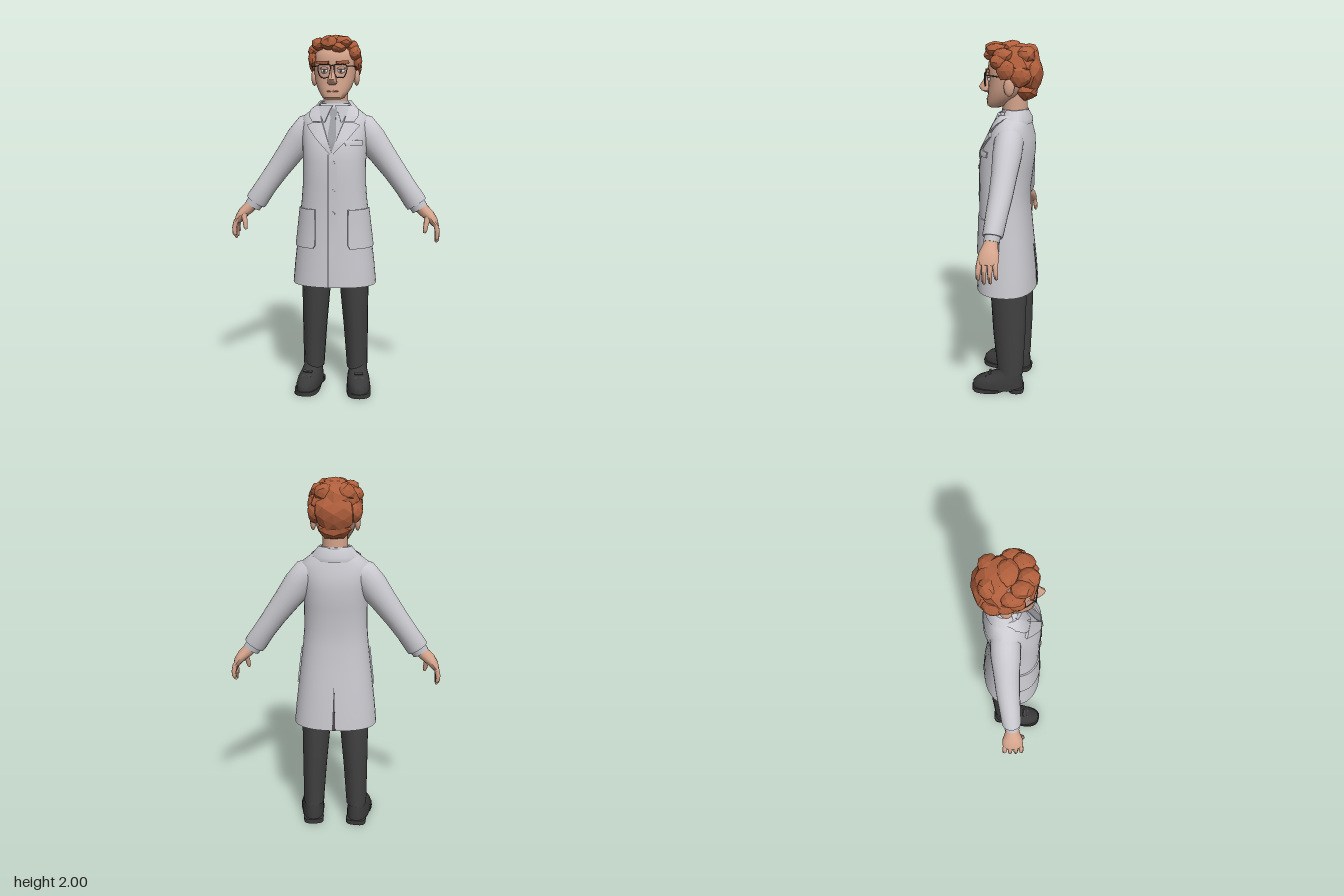
import * as THREE from 'three';
import { mergeGeometries, toCreasedNormals } from 'three/addons/utils/BufferGeometryUtils.js';

const mat = (name, color, side = THREE.FrontSide) => Object.assign(new THREE.MeshStandardMaterial({ color, side }), { name });
const V = (x, y, z) => new THREE.Vector3(x, y, z);
const pw = (v, e) => Math.sign(v) * Math.abs(v) ** e;

// Geometry from a grid of points; rows run upwards, columns run anticlockwise seen from above
function grid(rows, cols, at, { wrap = false, caps = [false, false], crease = 0.8 } = {}) {
  const pos = [], idx = [], n = wrap ? cols : cols - 1;
  for (let i = 0; i < rows; i++) for (let j = 0; j < cols; j++) pos.push(...at(i, j).toArray());
  for (let i = 0; i < rows - 1; i++) for (let j = 0; j < n; j++) {
    const k = (j + 1) % cols, a = i * cols + j, b = i * cols + k;
    idx.push(a, b, b + cols, a, b + cols, a + cols);
  }
  caps.forEach((on, top) => {
    if (!on) return;
    const r = top ? rows - 1 : 0, c = V(0, 0, 0), m = pos.length / 3;
    for (let j = 0; j < cols; j++) c.add(at(r, j));
    pos.push(...c.divideScalar(cols).toArray());
    for (let j = 0; j < cols; j++) {
      const a = r * cols + j, b = r * cols + (j + 1) % cols;
      idx.push(...(top ? [a, b, m] : [b, a, m]));
    }
  });
  const g = new THREE.BufferGeometry();
  g.setAttribute('position', new THREE.Float32BufferAttribute(pos, 3));
  g.setIndex(idx);
  return toCreasedNormals(g, crease);
}

// Limb or body from rings [x, y, z, radius across, radius in z], listed bottom to top
function tube(rings, n = 16, e = 1, caps = [true, true]) {
  return grid(rings.length, n, (i, j) => {
    const [x, y, z, rx, rz] = rings[i], p = rings[Math.max(i - 1, 0)], q = rings[Math.min(i + 1, rings.length - 1)];
    const t = V(q[0] - p[0], q[1] - p[1], 0).normalize(), a = j / n * Math.PI * 2, s = pw(Math.sin(a), e) * rx;
    return V(x + t.y * s, y - t.x * s, z + pw(Math.cos(a), e) * rz);
  }, { wrap: true, caps });
}
// Rings from rows [y, half width, front z, back z]
const rings = (rows, x = 0) => rows.map(([y, w, f, b]) => [x, y, (f + b) / 2, w, (f - b) / 2]);

const COAT = rings([[0.63, .235, .172, -.168], [0.75, .224, .168, -.16], [0.95, .2, .158, -.138], [1.1, .183, .156, -.124],
  [1.2, .175, .156, -.121], [1.32, .175, .156, -.136], [1.42, .18, .14, -.147], [1.5, .187, .1, -.142],
  [1.56, .182, .068, -.124], [1.6, .13, .048, -.114], [1.63, .08, .036, -.105]]);
const EXP = 0.85;

// Coat size at a height
function coatAt(y) {
  let i = 0;
  while (i < COAT.length - 2 && COAT[i + 1][1] < y) i++;
  const t = (y - COAT[i][1]) / (COAT[i + 1][1] - COAT[i][1]);
  return COAT[i].map((v, k) => v + (COAT[i + 1][k] - v) * t);
}
// Raised cloth panel lying on the coat; rows are [y, x0, x1] from bottom to top
function panel(rows, off, turn = 0, sub = 5, cols = 10) {
  const R = [];
  rows.forEach((r, i) => {
    if (!i) return R.push(r);
    for (let k = 1; k <= sub; k++) R.push(r.map((v, c) => rows[i - 1][c] + (v - rows[i - 1][c]) * k / sub));
  });
  return grid(R.length + 2, cols + 3, (i, j) => {
    const edge = i === 0 || j === 0 || i === R.length + 1 || j === cols + 2;
    const [y, x0, x1] = R[Math.min(Math.max(i - 1, 0), R.length - 1)];
    const [, , z, w, d] = coatAt(y), o = edge ? -0.003 : off;
    const ang = x => Math.asin(pw(Math.min(Math.max(x / w, -1), 1), 1 / EXP));
    const t = Math.min(Math.max(j - 1, 0), cols) / cols, a = turn + ang(x0) + (ang(x1) - ang(x0)) * t;
    return V((w + o) * pw(Math.sin(a), EXP), y, z + (d + o) * pw(Math.cos(a), EXP));
  }, { crease: 0.5 });
}
function mirrored(geo) {
  const g = geo.clone().scale(-1, 1, 1), n = g.attributes.position.count;
  const id = g.index ? [...g.index.array] : Array.from({ length: n }, (_, i) => i);
  for (let i = 0; i < id.length; i += 3) [id[i], id[i + 1]] = [id[i + 1], id[i]];
  return g.setIndex(id);
}
const ball = (x, y, z, rx, ry, rz) => new THREE.SphereGeometry(1, 16, 12).scale(rx, ry, rz).translate(x, y, z);
const rod = (pts, r, closed = false) => new THREE.TubeGeometry(new THREE.CatmullRomCurve3(pts, closed), closed ? 32 : 8, r, 6, closed);

// Faceted lock of hair
function lock([x, y, z, rx, ry, rz], seed) {
  const g = new THREE.IcosahedronGeometry(1, 1), p = g.attributes.position;
  for (let i = 0; i < p.count; i++) {
    const v = V(p.getX(i), p.getY(i), p.getZ(i));
    const h = Math.sin(Math.round(v.x * 50) * 12.9 + Math.round(v.y * 50) * 78.2 + Math.round(v.z * 50) * 37.7 + seed * 5.3) * 437.5;
    v.multiplyScalar(0.9 + 0.16 * (h - Math.floor(h)));
    p.setXYZ(i, x + v.x * rx, y + v.y * ry, z + v.z * rz);
  }
  g.computeVertexNormals();
  return g;
}

export function createModel() {
  const group = new THREE.Group();
  const coat = mat('coat cloth', 0xc9c9cf, THREE.DoubleSide), shirt = mat('shirt cloth', 0xbfc0c6, THREE.DoubleSide);
  const tie = mat('tie cloth', 0x9a9ba1), skin = mat('skin', 0xd6a58d), lip = mat('lips', 0xb98672);
  const hair = mat('hair', 0xb05f3c), trouser = mat('trouser cloth', 0x414142), shoe = mat('shoe leather', 0x3a3a3b);
  const white = mat('eye white', 0xe4e4e4), dark = mat('dark trim', 0x4a4748);
  const add = (name, geo, m) => {
    const mesh = new THREE.Mesh(geo, m);
    mesh.name = name;
    group.add(mesh);
  };
  const pair = (name, geo, m) => { add(name + 'Left', geo, m); add(name + 'Right', mirrored(geo), m); };

  // Coat body, front edge and vent
  add('coatBody', tube(COAT, 40, EXP, [false, true]), coat);
  add('coatFrontOverlap', panel([[.632, -.014, .03], [1.36, -.014, .03]], .005, 0, 20), coat);
  add('coatFrontSeam', panel([[.632, -.02, -.014], [1.36, -.02, -.014]], .004, 0, 20, 2), dark);
  add('coatVent', panel([[.632, -.009, .009], [.88, -.001, .001]], .003, Math.PI, 8, 2), dark);
  pair('lowerPocket', panel([[.845, .1, .21], [.865, .088, .22], [1.06, .088, .22]], .008), coat);
  add('breastPocket', panel([[1.405, .075, .155], [1.435, .06, .155]], .007), coat);
  [1.315, 1.16, 1.04].forEach(y => add('button',
    new THREE.CylinderGeometry(.012, .012, .008, 14).rotateX(Math.PI / 2).translate(.008, y, coatAt(y)[2] + coatAt(y)[4] + .007), coat));

  // Shirt front, tie and lapels
  add('shirtFront', panel([[1.37, -.012, .012], [1.5, -.055, .055], [1.61, -.08, .08]], .004), shirt);
  add('tie', panel([[1.375, -.012, .012], [1.46, -.022, .022], [1.56, -.013, .013], [1.57, -.019, .019], [1.605, -.023, .023]], .009), tie);
  pair('shirtCollarPoint', panel([[1.53, .042, .048], [1.58, .024, .07], [1.62, .006, .075]], .014), shirt);
  pair('lapel', panel([[1.36, -.004, .008], [1.45, .027, .088], [1.515, .05, .138], [1.53, .056, .105]], .012), coat);
  pair('collarFront', panel([[1.533, .057, .108], [1.56, .064, .126], [1.595, .072, .125], [1.622, .076, .1]], .012), coat);
  const collar = [[.07, 1.61], [.076, 1.648], [.088, 1.648], [.128, 1.598], [.126, 1.575]].map(p => new THREE.Vector2(...p)).reverse();
  add('collarBack', toCreasedNormals(new THREE.LatheGeometry(collar, 28, Math.PI * .3, Math.PI * 1.4)
    .scale(1, 1, .72).translate(0, 0, -.04), .7), coat);
  add('shirtCollarBand', tube([[0, 1.59, -.036, .078, .072], [0, 1.645, -.038, .074, .072]], 24), shirt);

  // Sleeves and cuffs
  pair('sleeve', tube([[.457, 1.078, -.015, .06, .05], [.447, 1.093, -.016, .062, .053], [.395, 1.17, -.022, .06, .057],
    [.333, 1.257, -.03, .064, .062], [.26, 1.355, -.034, .073, .068], [.2, 1.435, -.035, .083, .077],
    [.155, 1.492, -.035, .083, .077], [.08, 1.52, -.035, .07, .065]], 20), coat);
  pair('cuff', tube([[.475, 1.053, -.013, .047, .041], [.45, 1.09, -.015, .048, .042]], 18), shirt);

  // Hands
  pair('palm', tube([[.563, .965, -.012, .018, .05], [.552, .985, -.012, .025, .056], [.528, 1.015, -.012, .031, .053],
    [.5, 1.04, -.012, .034, .04], [.475, 1.065, -.013, .036, .034]], 14), skin);
  [[.032, .885], [.004, .868], [-.025, .872], [-.053, .895]].forEach(([z, y], i) =>
    pair('finger' + (i + 1), tube([[.566, y, z * 1.1, .006, .006], [.572, y + .012, z * 1.1, .012, .011], [.574, .93, z * 1.05, .013, .013],
      [.566, .965, z, .014, .014], [.55, .99, z * .9, .012, .014]], 8), skin));
  pair('thumb', tube([[.503, .925, .045, .007, .007], [.506, .94, .044, .012, .012], [.51, .97, .038, .014, .014],
    [.52, 1.01, .022, .018, .018]], 8), skin);

  // Trousers and shoes
  pair('trouserLeg', tube([[.126, .115, -.037, .06, .077], [.126, .14, -.037, .061, .077], [.119, .36, -.03, .07, .094],
    [.109, .6, -.024, .082, .104], [.1, .92, -.01, .085, .1]], 14, 1.08), trouser);
  const place = g => g.rotateY(.13).translate(.136, 0, 0);
  pair('shoeUpper', place(tube(rings([[.018, .066, .182, -.116], [.05, .066, .18, -.114], [.075, .062, .155, -.112],
    [.1, .054, .09, -.108], [.118, .05, .045, -.105], [.14, .046, .03, -.1]]), 20, .85)), shoe);
  pair('shoeSole', place(tube(rings([[0, .068, .185, .0], [.024, .07, .187, -.06]]), 20, .8)), shoe);
  pair('shoeHeel', place(tube(rings([[0, .058, -.03, -.12], [.028, .06, -.025, -.121]]), 16, .7)), shoe);
  [.08, .105].forEach(z => pair('lace', place(new THREE.BoxGeometry(.05, .008, .012).rotateX(.5).translate(0, .178 - z * .85, z)), dark));

  // Head, ears and neck
  add('neck', tube([[0, 1.58, -.036, .068, .066], [0, 1.74, -.036, .068, .068]], 20), skin);
  add('head', tube(rings([[1.652, .04, .1, .04], [1.662, .06, .113, .01], [1.69, .078, .114, -.03], [1.72, .095, .108, -.07],
    [1.76, .108, .105, -.1], [1.81, .114, .1, -.125], [1.85, .115, .108, -.13], [1.9, .113, .1, -.13], [1.95, .085, .06, -.1]]), 24, .92), skin);
  pair('ear', ball(.119, 1.775, -.022, .016, .048, .028).rotateY(.05), skin);

  // Nose and mouth
  add('nose', tube([[0, 1.728, .105, .016, .018], [0, 1.738, .118, .027, .03], [0, 1.755, .125, .024, .036],
    [0, 1.79, .11, .014, .028], [0, 1.835, .1, .012, .014]], 10), skin);
  add('mouth', ball(0, 1.695, .109, .032, .006, .008), lip);

  // Eyes, brows and glasses
  pair('eyeWhite', ball(.044, 1.803, .091, .021, .014, .012), white);
  pair('pupil', ball(.044, 1.803, .1, .008, .009, .005), dark);
  pair('eyelid', ball(.044, 1.816, .091, .025, .008, .013), skin);
  pair('eyebrow', new THREE.BoxGeometry(.07, .014, .016).rotateZ(.04).rotateY(.3).translate(.053, 1.848, .1), hair);
  const rim = [[.012, 1.832], [.042, 1.836], [.074, 1.832], [.076, 1.8], [.062, 1.77], [.042, 1.766], [.022, 1.77], [.011, 1.8]];
  pair('glassesRim', rod(rim.map(([x, y]) => V(x, y, .122 - x * .15)), .0028, true), dark);
  pair('glassesTemple', rod([V(.076, 1.828, .11), V(.112, 1.828, .06), V(.124, 1.82, -.02)], .003), dark);
  add('glassesBridge', rod([V(-.012, 1.825, .12), V(0, 1.83, .125), V(.012, 1.825, .12)], .003), dark);

  // Hair: back mass, crown, fringe and side locks
  const locks = [[0, 1.875, -.055, .132, .115, .12], [0, 1.83, -.115, .112, .105, .075], [0, 1.745, -.1, .09, .055, .062],
    [0, 1.965, -.02, .07, .035, .06], [-.02, 1.95, .075, .05, .042, .058], [.05, 1.955, .055, .05, .036, .055],
    [-.075, 1.945, .045, .048, .038, .055], [.09, 1.93, .01, .048, .04, .055], [-.105, 1.91, 0, .042, .042, .06],
    [.11, 1.9, .03, .038, .042, .045], [-.115, 1.87, .02, .03, .045, .045], [.118, 1.86, -.01, .03, .055, .05],
    [-.118, 1.845, -.03, .03, .05, .05], [.1, 1.83, -.08, .045, .06, .06], [-.1, 1.83, -.08, .045, .06, .06],
    [.05, 1.93, -.1, .06, .05, .055], [-.05, 1.93, -.1, .06, .05, .055], [.03, 1.925, .085, .04, .03, .04]];
  add('hair', mergeGeometries(locks.map(lock)), hair);
  return group;
}
